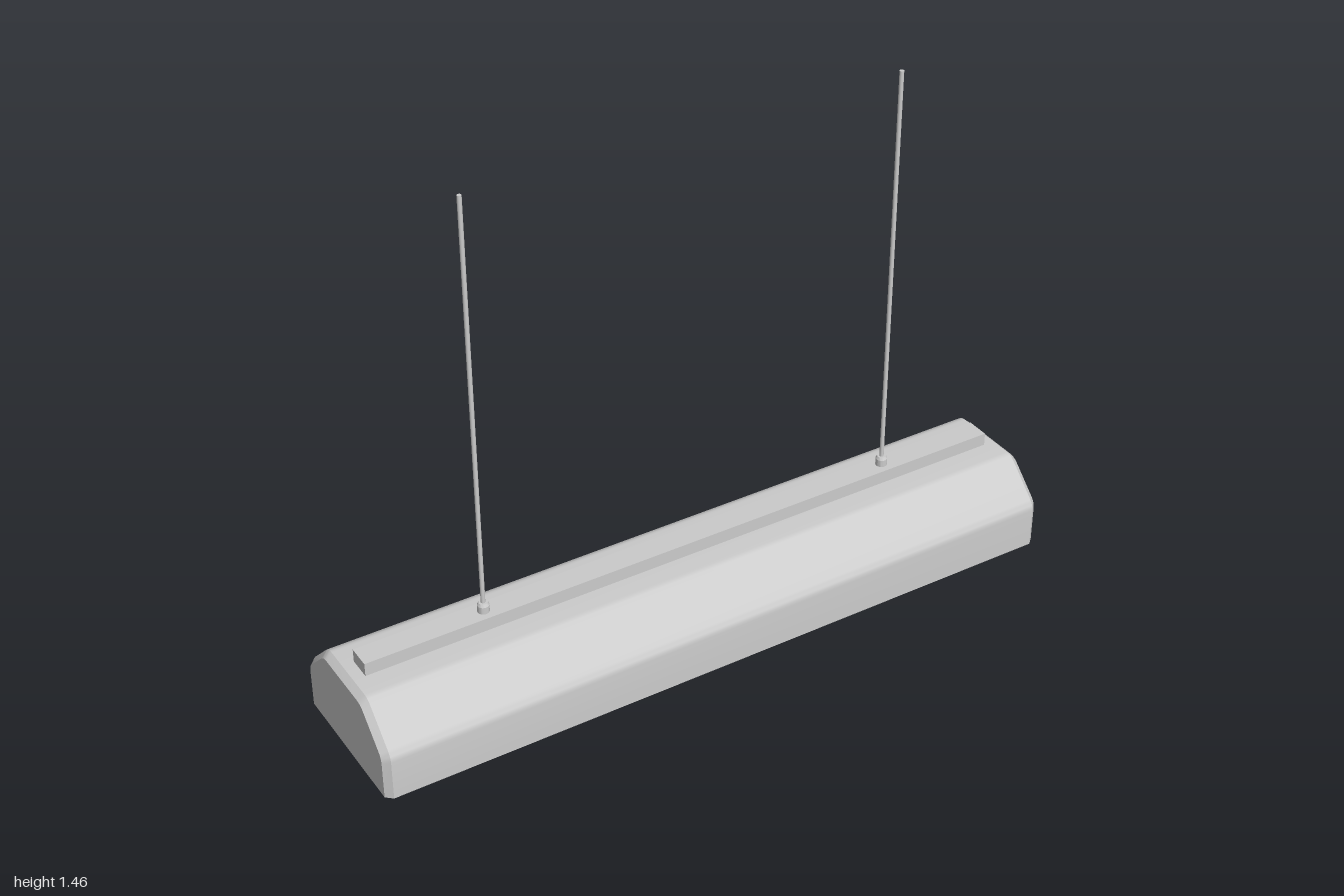
import * as THREE from 'three';
import { toCreasedNormals } from 'three/addons/utils/BufferGeometryUtils.js';

const BASE = 0.011;
const grey = new THREE.MeshStandardMaterial({ color: 0xcccccc });
const greyDouble = new THREE.MeshStandardMaterial({ color: 0xcccccc, side: THREE.DoubleSide });
const vectors = points => points.map(p => new THREE.Vector2(...p));

function add(parent, name, geometry, x = 0, y = 0, z = 0, material = grey) {
  const mesh = new THREE.Mesh(geometry, material);
  mesh.name = name;
  mesh.position.set(x, y, z);
  parent.add(mesh);
}

// Half-hexagon section with softened corners, as [z, y], inset by d
function hoodSection(d) {
  const w = 0.222 - d;
  const path = vectors([[w, BASE], [w, 0.142 - 0.4 * d], [0.112 - 0.4 * d, 0.248 - d], [0, 0.248 - d]]);
  const half = [path[0]];
  for (let i = 1; i < 3; i++) {
    const toward = q => path[i].clone().add(q.clone().sub(path[i]).setLength(0.018));
    half.push(...new THREE.QuadraticBezierCurve(toward(path[i - 1]), path[i], toward(path[i + 1])).getPoints(4));
  }
  const other = half.map(p => new THREE.Vector2(-p.x, p.y)).reverse();
  return [...half, ...other];
}

// Lofts sections along x and closes both ends; the underside stays open
function loft(stations) {
  const rings = stations.map(([x, section]) => section.map(p => [x, p.y, p.x]));
  const n = rings[0].length;
  const pos = [];
  const tri = (a, b, c) => pos.push(...a, ...b, ...c);
  for (let i = 0; i < rings.length - 1; i++) {
    for (let j = 0; j < n - 1; j++) {
      const a = rings[i][j], b = rings[i + 1][j], c = rings[i + 1][j + 1], d = rings[i][j + 1];
      tri(a, b, c);
      tri(a, c, d);
    }
  }
  const first = rings[0], last = rings[rings.length - 1];
  for (let j = 1; j < n - 1; j++) {
    tri(first[0], first[j], first[j + 1]);
    tri(last[0], last[j + 1], last[j]);
  }
  const g = new THREE.BufferGeometry();
  g.setAttribute('position', new THREE.Float32BufferAttribute(pos, 3));
  return toCreasedNormals(g, 0.45);
}

export function createModel() {
  const model = new THREE.Group();
  model.name = 'pendantStripLight';

  // Hood with chamfered ends
  const full = hoodSection(0), inset = hoodSection(0.016);
  add(model, 'hood', loft([[-1, inset], [-0.982, full], [0.982, full], [1, inset]]));

  // Flat underside with a slot for each lamp
  const underside = new THREE.Shape(vectors([[-1, -0.206], [-0.982, -0.222], [0.982, -0.222], [1, -0.206],
    [1, 0.206], [0.982, 0.222], [-0.982, 0.222], [-1, 0.206]]));
  const trough = vectors([[0.035, BASE], [0.035, 0.055], [-0.035, 0.055], [-0.035, BASE]]);

  for (const z of [-0.07, 0.07]) {
    underside.holes.push(new THREE.Path(vectors([[-0.95, z - 0.035], [-0.95, z + 0.035],
      [0.95, z + 0.035], [0.95, z - 0.035]])));

    // Trough, lamp tube and the holders at its ends
    add(model, 'lampTrough', loft([[-0.95, trough], [0.95, trough]]), 0, 0, z, greyDouble);
    add(model, 'lampTube', new THREE.CylinderGeometry(0.022, 0.022, 1.82, 24).rotateZ(Math.PI / 2), 0, 0.022, z);
    for (const side of [-1, 1]) {
      add(model, 'lampHolder', new THREE.BoxGeometry(0.025, 0.047, 0.05), side * 0.92, 0.0315, z);
    }
  }
  add(model, 'underside', new THREE.ShapeGeometry(underside).rotateX(Math.PI / 2), 0, BASE, 0);

  // Mounting rail on top
  add(model, 'mountingRail', new THREE.BoxGeometry(1.9, 0.041, 0.066), 0, 0.2645, 0);

  // Suspension rods in tapered ferrules
  const ferrule = vectors([[0, 0], [0.016, 0], [0.016, 0.02], [0.012, 0.028], [0, 0.028]]);
  for (const x of [-0.606, 0.618]) {
    const hanger = new THREE.Group();
    hanger.name = 'hanger';
    hanger.position.x = x;
    add(hanger, 'ferrule', toCreasedNormals(new THREE.LatheGeometry(ferrule, 20), 0.45), 0, 0.285, 0);
    add(hanger, 'rod', new THREE.CylinderGeometry(0.006, 0.006, 1.162, 16), 0, 0.881, 0);
    model.add(hanger);
  }
  return model;
}
